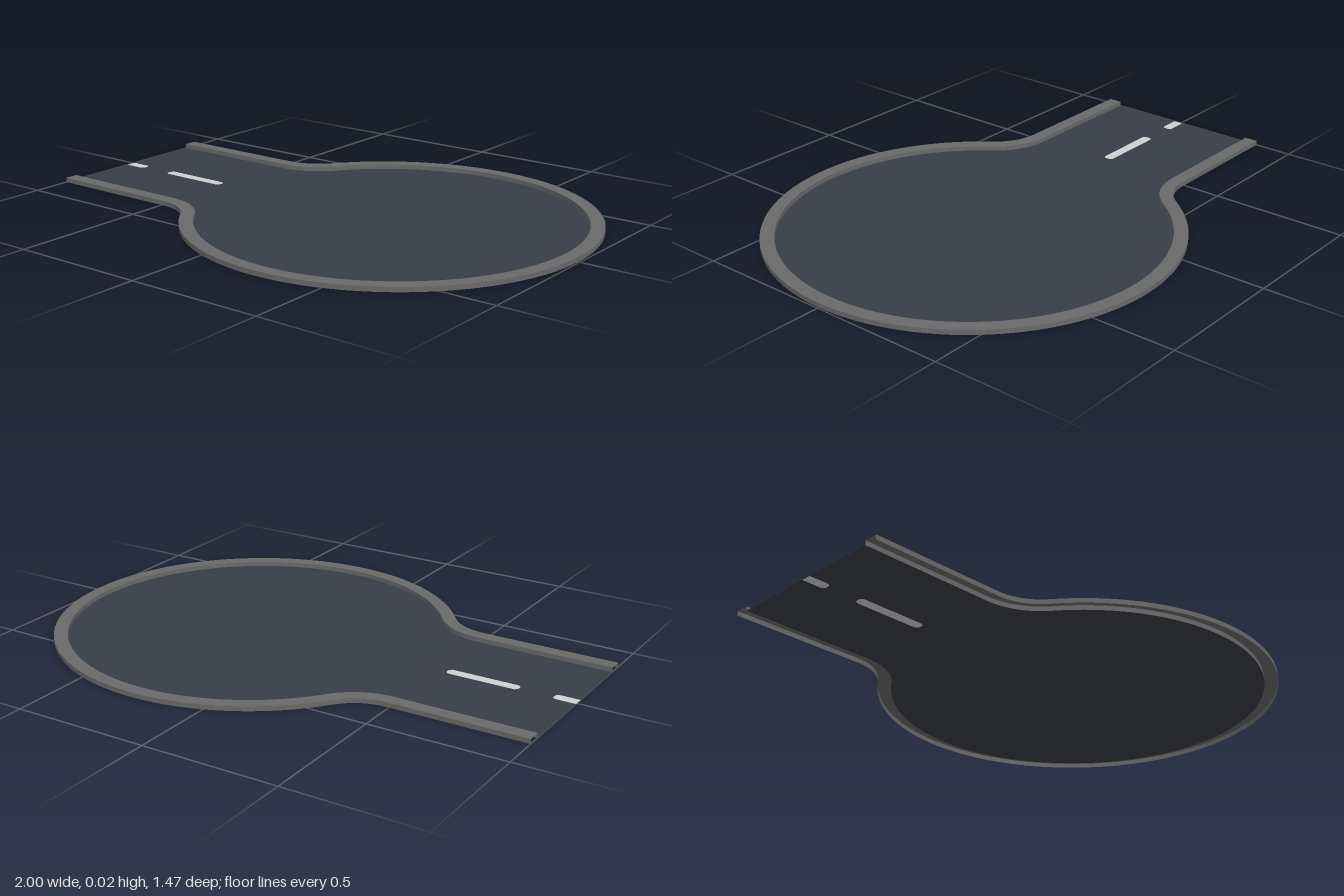
import * as THREE from 'three';

const END = -1, HUB = 0.26, RADIUS = 0.685, HALF = 0.305;
const KERB = 0.05, HEIGHT = 0.017;
const BEND_X = -0.49, BEND_Y = 0.55;

// Outline of the road, pushed outward by the given offset, from one road end round to the other
function outline(offset) {
  const half = [new THREE.Vector2(END, HALF + offset)];
  const tilt = Math.atan2(BEND_Y, HUB - BEND_X);
  const bend = BEND_Y - HALF - offset;
  for (let i = 0; i <= 12; i++) {
    const a = THREE.MathUtils.lerp(-Math.PI / 2, -tilt, i / 12);
    half.push(new THREE.Vector2(BEND_X + bend * Math.cos(a), BEND_Y + bend * Math.sin(a)));
  }
  const r = RADIUS + offset;
  for (let i = 1; i <= 48; i++) {
    const a = (Math.PI - tilt) * (1 - i / 48);
    half.push(new THREE.Vector2(HUB + r * Math.cos(a), r * Math.sin(a)));
  }
  const mirrored = half.slice(0, -1).reverse().map(p => new THREE.Vector2(p.x, -p.y));
  return [...half, ...mirrored];
}

// Strip swept along the outline between two profile points [offset, height]
function strip([offsetA, yA], [offsetB, yB]) {
  const a = outline(offsetA), b = outline(offsetB);
  const position = [], index = [];
  a.forEach((p, i) => {
    position.push(p.x, yA, -p.y, b[i].x, yB, -b[i].y);
    if (i < a.length - 1) {
      const k = 2 * i;
      index.push(k, k + 1, k + 2, k + 1, k + 3, k + 2);
    }
  });
  const geometry = new THREE.BufferGeometry();
  geometry.setAttribute('position', new THREE.Float32BufferAttribute(position, 3));
  geometry.setIndex(index);
  geometry.computeVertexNormals();
  return geometry;
}

const points = list => list.map(([x, y]) => new THREE.Vector2(x, y));

export function createModel() {
  const group = new THREE.Group();
  const material = (name, color) => {
    const m = new THREE.MeshStandardMaterial({ color, side: THREE.DoubleSide });
    m.name = name;
    return m;
  };
  const asphalt = material('asphalt', 0x383d45);
  const concrete = material('concrete', 0x696969);
  const paint = material('white paint', 0xd0d0d0);

  const add = (name, geometry, mat) => {
    const mesh = new THREE.Mesh(geometry, mat);
    mesh.name = name;
    group.add(mesh);
  };
  const flat = shape => new THREE.ShapeGeometry(shape).rotateX(-Math.PI / 2);

  // Lane markings with clipped corners; the first is cut off by the road end
  const top = 0.006, bottom = -0.032, clip = 0.01;
  const shortDash = points([
    [END, bottom], [-0.925, bottom], [-0.915, bottom + clip],
    [-0.915, top - clip], [-0.925, top], [END, top],
  ]);
  const longDash = points([
    [-0.79, bottom + clip], [-0.78, bottom], [-0.53, bottom], [-0.52, bottom + clip],
    [-0.52, top - clip], [-0.53, top], [-0.78, top], [-0.79, top - clip],
  ]);

  // Road surface, with openings that the markings fill
  const road = new THREE.Shape([...outline(0), ...shortDash]);
  road.holes.push(new THREE.Path(longDash));
  add('roadSurface', flat(road), asphalt);
  add('shortLaneMarking', flat(new THREE.Shape(shortDash)), paint);
  add('longLaneMarking', flat(new THREE.Shape(longDash)), paint);

  // Kerb: outer wall, top and inner wall, open underneath
  const profile = [[KERB, 0], [KERB, HEIGHT], [0, HEIGHT], [0, 0]];
  ['kerbOuterWall', 'kerbTop', 'kerbInnerWall'].forEach((name, i) =>
    add(name, strip(profile[i], profile[i + 1]), concrete));

  return group;
}
